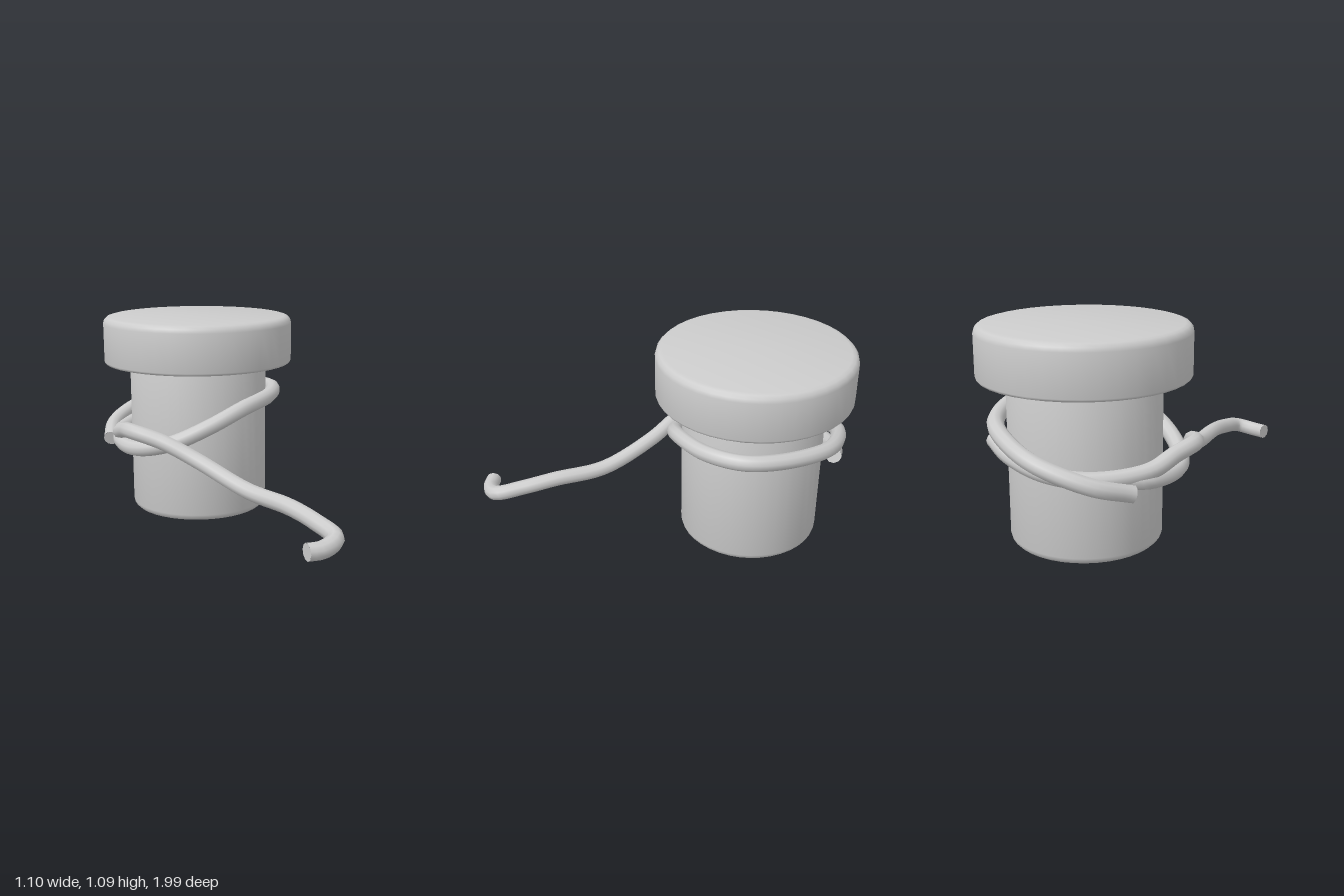
import * as THREE from 'three';
import { toCreasedNormals } from 'three/addons/utils/BufferGeometryUtils.js';

const material = new THREE.MeshStandardMaterial({ color: 0xcccccc });
const wireRadius = 0.042;

function add(group, name, geometry) {
  const mesh = new THREE.Mesh(geometry, material);
  mesh.name = name;
  group.add(mesh);
  return mesh;
}

// Solid disc or post with rounded rims
function roundedCylinder(radius, y0, y1, bottomBevel, topBevel) {
  const profile = [new THREE.Vector2(0, y0)];
  const steps = 3;
  for (let i = 0; i <= steps; i++) {
    const a = (i / steps) * Math.PI / 2;
    profile.push(new THREE.Vector2(
      radius - bottomBevel * (1 - Math.sin(a)), y0 + bottomBevel * (1 - Math.cos(a))));
  }
  for (let i = 0; i <= steps; i++) {
    const a = (i / steps) * Math.PI / 2;
    profile.push(new THREE.Vector2(
      radius - topBevel * (1 - Math.cos(a)), y1 - topBevel * (1 - Math.sin(a))));
  }
  profile.push(new THREE.Vector2(0, y1));
  return toCreasedNormals(new THREE.LatheGeometry(profile, 40), 0.6);
}

// Bent wire with flat closed ends
function addWire(group, name, points, segments) {
  const curve = new THREE.CatmullRomCurve3(
    points.map((p) => new THREE.Vector3(...p)), false, 'centripetal');
  const wire = new THREE.Group();
  wire.name = name;
  add(wire, name + 'Tube', new THREE.TubeGeometry(curve, segments, wireRadius, 10));
  for (const t of [0, 1]) {
    const cap = add(wire, name + 'End', new THREE.CircleGeometry(wireRadius, 10));
    const outward = curve.getTangent(t).multiplyScalar(t ? 1 : -1);
    cap.position.copy(curve.getPoint(t));
    cap.quaternion.setFromUnitVectors(new THREE.Vector3(0, 0, 1), outward);
  }
  group.add(wire);
}

export function createModel() {
  const model = new THREE.Group();
  model.name = 'stopperWithWire';

  // Plug body and wider cap, sharing one axis
  const body = add(model, 'body', roundedCylinder(0.383, 0, 0.85, 0.035, 0.005));
  const cap = add(model, 'cap', roundedCylinder(0.526, 0.83, 1.09, 0.015, 0.04));
  for (const part of [body, cap]) part.position.set(0.025, 0, -0.447);

  // Wire loop: from the back left, round the right and front, to the left side
  addWire(model, 'wireLoop', [
    [-0.38, 0.385, -0.75], [-0.25, 0.445, -0.895], [0, 0.525, -0.95],
    [0.2, 0.58, -0.875], [0.36, 0.62, -0.73], [0.44, 0.65, -0.45],
    [0.41, 0.66, -0.25], [0.25, 0.65, -0.1], [0, 0.62, -0.035],
    [-0.2, 0.54, -0.08], [-0.36, 0.455, -0.2], [-0.45, 0.41, -0.38],
    [-0.4, 0.41, -0.62], [-0.3, 0.43, -0.72],
  ], 90);

  // Long tail: hooked tip, rising to the left side and wrapping behind
  addWire(model, 'wireTail', [
    [-0.475, 0.215, 0.93], [-0.4, 0.215, 0.955], [-0.3, 0.235, 0.935],
    [-0.27, 0.265, 0.78], [-0.265, 0.29, 0.6], [-0.28, 0.305, 0.32],
    [-0.35, 0.405, 0.02], [-0.43, 0.48, -0.16], [-0.505, 0.52, -0.33],
    [-0.465, 0.5, -0.47], [-0.4, 0.455, -0.62], [-0.2, 0.44, -0.81],
    [0, 0.465, -0.885], [0.2, 0.515, -0.86], [0.33, 0.56, -0.79],
  ], 90);

  return model;
}
